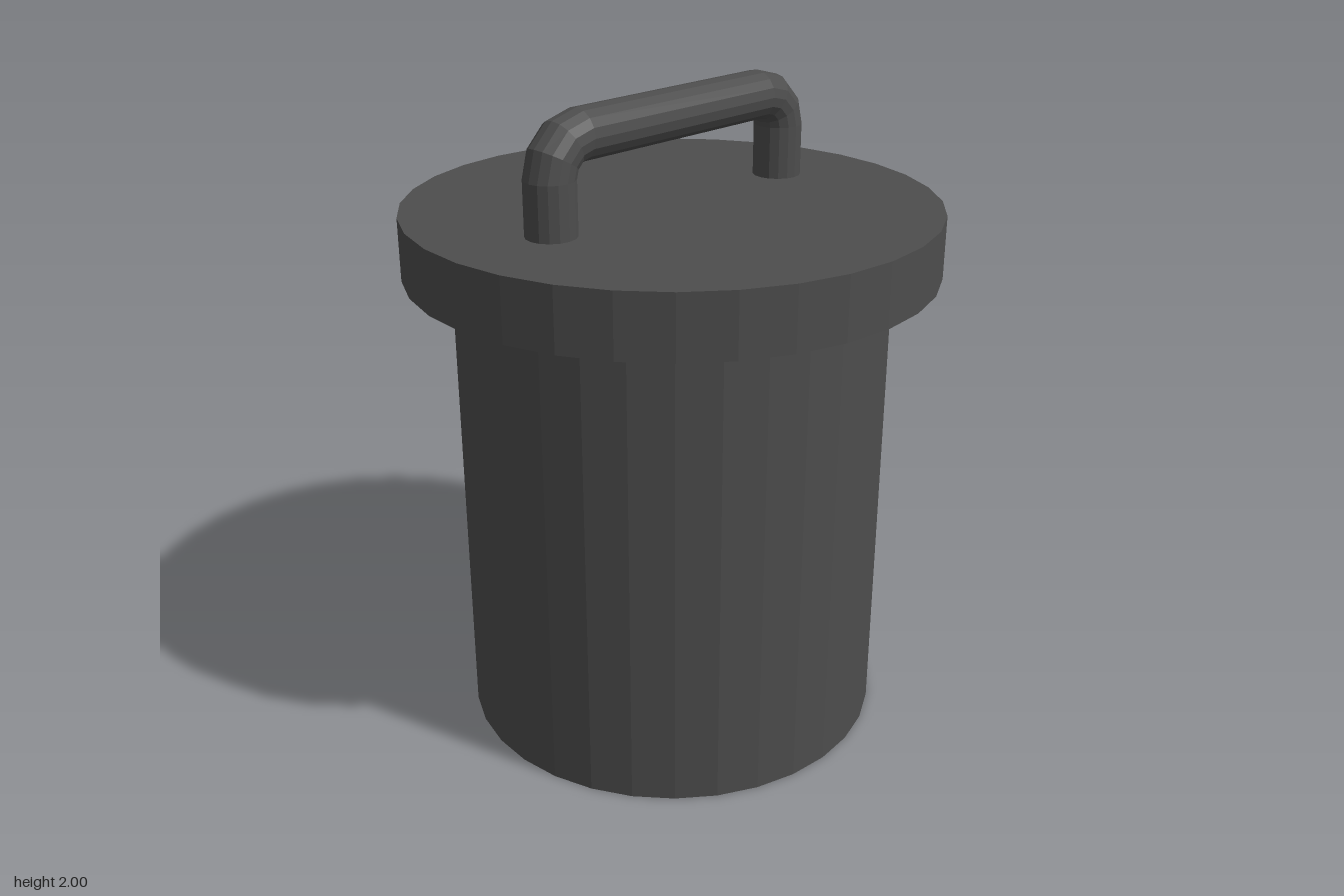
import * as THREE from 'three';

// Handle centreline: straight legs joined to a bar by two three-step bends
class HandleCurve extends THREE.Curve {
  constructor() {
    super();
    const bendX = 0.37, bendY = 1.82, bendR = 0.105;
    this.stations = [];
    const add = (x, y, angle) => this.stations.push({
      point: new THREE.Vector3(x, y, 0),
      tangent: new THREE.Vector3(Math.sin(angle), -Math.cos(angle), 0),
    });
    add(-bendX - bendR, 1.64, Math.PI);
    for (const side of [-1, 1]) {
      for (let i = 0; i <= 3; i++) {
        const a = (side < 0 ? Math.PI : Math.PI / 2) - (i * Math.PI) / 6;
        add(side * bendX + bendR * Math.cos(a), bendY + bendR * Math.sin(a), a);
      }
    }
    add(bendX + bendR, 1.64, 0);
  }
  station(t) {
    return this.stations[Math.round(t * (this.stations.length - 1))];
  }
  getPoint(t) { return this.station(t).point.clone(); }
  getPointAt(t) { return this.getPoint(t); }
  getTangent(t) { return this.station(t).tangent.clone(); }
  getTangentAt(t) { return this.getTangent(t); }
}

export function createModel() {
  const group = new THREE.Group();
  const material = new THREE.MeshStandardMaterial({ color: 0x4d4d4d, flatShading: true });

  const addPart = (name, geometry, y = 0) => {
    const mesh = new THREE.Mesh(geometry, material);
    mesh.name = name;
    mesh.position.y = y;
    group.add(mesh);
  };

  // Canister body and overhanging lid
  addPart('body', new THREE.CylinderGeometry(0.66, 0.66, 1.47, 32), 0.735);
  addPart('lid', new THREE.CylinderGeometry(0.805, 0.805, 0.19, 32), 1.565);

  // Bent carrying handle, its ends sunk into the lid
  const curve = new HandleCurve();
  addPart('handle', new THREE.TubeGeometry(curve, curve.stations.length - 1, 0.075, 16));

  return group;
}
